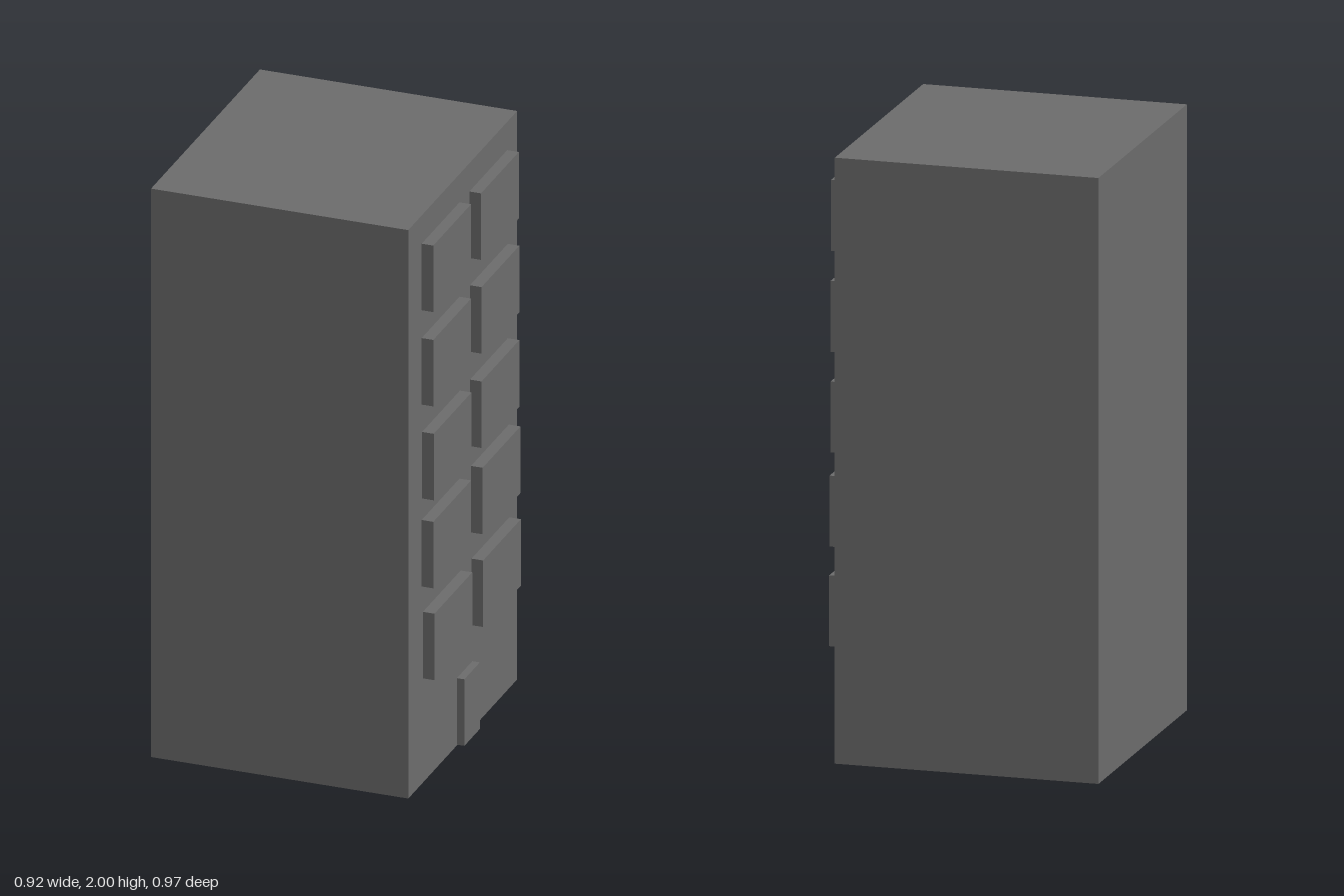
import * as THREE from 'three';

export function createModel() {
  const model = new THREE.Group();
  model.name = 'towerBlock';
  const concrete = new THREE.MeshStandardMaterial({ color: 0x6c6c6c });
  concrete.name = 'concrete grey';

  // Axis-aligned box given by its extents
  function block(name, x0, x1, y0, y1, z0, z1) {
    const mesh = new THREE.Mesh(new THREE.BoxGeometry(x1 - x0, y1 - y0, z1 - z0), concrete);
    mesh.name = name;
    mesh.position.set((x0 + x1) / 2, (y0 + y1) / 2, (z0 + z1) / 2);
    model.add(mesh);
  }

  const wall = 0.42;

  // Main tower
  block('tower', -0.46, wall, 0, 2, -0.485, 0.485);

  // Slightly uneven window rows: sill height, then centre z of each of the pair
  const width = 0.337, height = 0.234;
  const rows = [
    [1.667, 0.198, -0.227],
    [1.335, 0.198, -0.232],
    [1.003, 0.194, -0.232],
    [0.695, 0.198, -0.242],
    [0.367, 0.187, -0.246],
  ];
  rows.forEach(([sill, ...centres], i) => {
    centres.forEach((z, j) => {
      block(`window${i + 1}${j ? 'Back' : 'Front'}`, wall, 0.46, sill, sill + height, z - width / 2, z + width / 2);
    });
  });

  // Entrance door
  block('door', wall, 0.446, 0.003, 0.237, -0.085, 0.053);

  return model;
}
